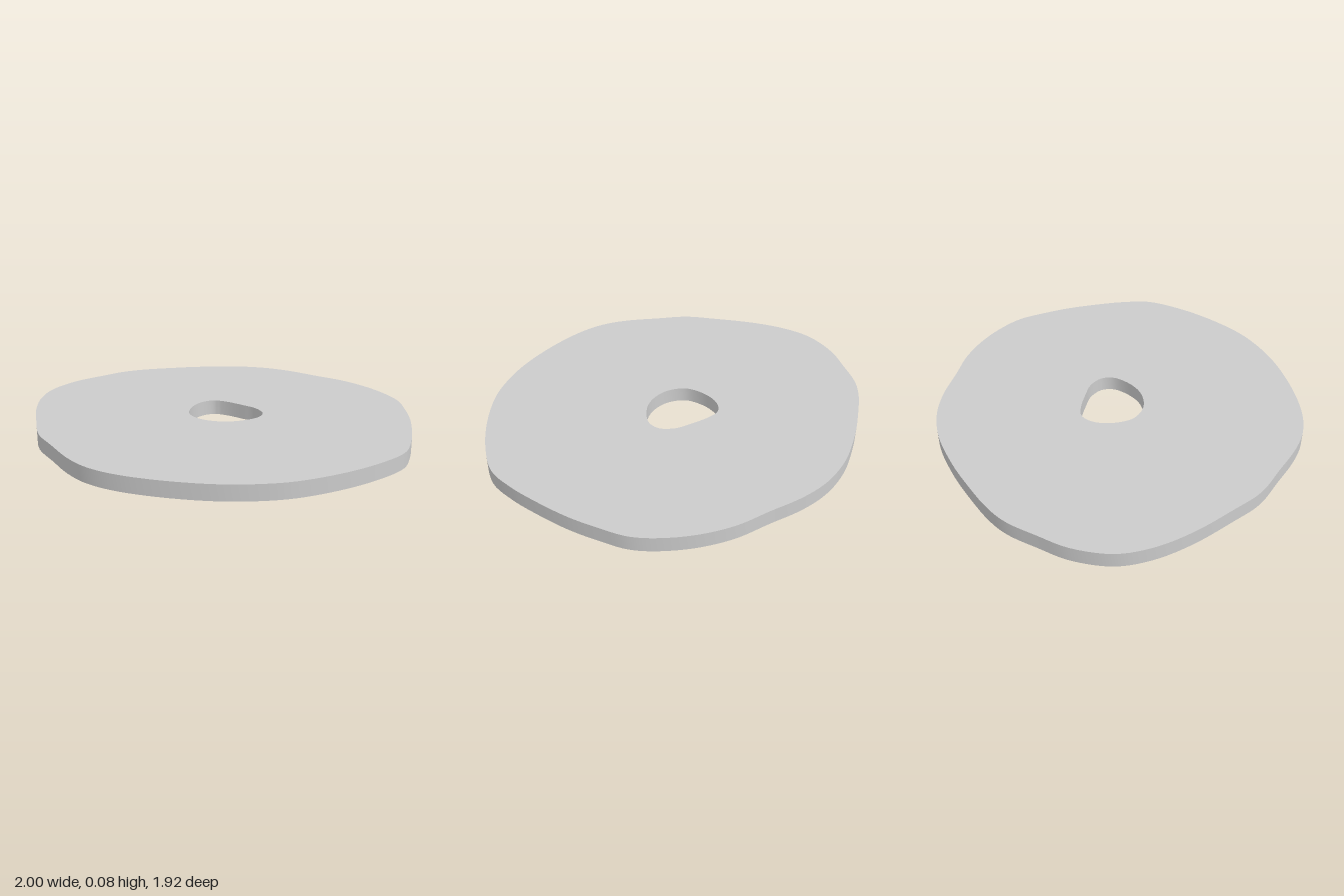
import * as THREE from 'three';
import { toCreasedNormals } from 'three/addons/utils/BufferGeometryUtils.js';

const THICKNESS = 0.08;

// Smooth closed loop through [x, z] points
function loop(points, divisions) {
  const curve = new THREE.CatmullRomCurve3(
    points.map(([x, z]) => new THREE.Vector3(x, z, 0)), true, 'centripetal');
  return curve.getPoints(divisions).slice(0, -1).map(p => new THREE.Vector2(p.x, p.y));
}

export function createModel() {
  // Irregular rounded rim
  const rim = [
    [-0.03, -0.96], [0.2, -0.94], [0.38, -0.88], [0.52, -0.79], [0.66, -0.66],
    [0.8, -0.53], [0.91, -0.37], [0.98, -0.2], [1, -0.09], [0.99, 0.03],
    [0.96, 0.21], [0.9, 0.41], [0.85, 0.54], [0.77, 0.68], [0.6, 0.8],
    [0.4, 0.89], [0.2, 0.945], [0.06, 0.955], [-0.14, 0.935], [-0.4, 0.855],
    [-0.6, 0.755], [-0.72, 0.655], [-0.8, 0.54], [-0.88, 0.37], [-0.955, 0.2],
    [-0.98, 0.02], [-1, -0.22], [-0.985, -0.42], [-0.93, -0.58], [-0.8, -0.73],
    [-0.66, -0.82], [-0.52, -0.9], [-0.4, -0.935], [-0.2, -0.955],
  ];

  // Off-centre, rounded triangular hole
  const hole = [
    [-0.02, -0.24], [0.04, -0.21], [0.13, -0.13], [0.185, -0.07], [0.21, 0.01],
    [0.185, 0.07], [0.12, 0.11], [0.02, 0.13], [-0.07, 0.11], [-0.14, 0.06],
    [-0.18, -0.02], [-0.17, -0.1], [-0.13, -0.18], [-0.08, -0.225],
  ];

  const shape = new THREE.Shape(loop(rim, 170));
  shape.holes.push(new THREE.Path(loop(hole, 70)));

  // Flat slab lying on the ground
  const slab = new THREE.ExtrudeGeometry(shape, { depth: THICKNESS, bevelEnabled: false });
  slab.rotateX(Math.PI / 2).translate(0, THICKNESS, 0);

  const disc = new THREE.Mesh(
    toCreasedNormals(slab, Math.PI / 5),
    new THREE.MeshStandardMaterial({ color: 0xcccccc }));
  disc.name = 'piercedDisc';

  const group = new THREE.Group();
  group.name = 'irregularDisc';
  group.add(disc);
  return group;
}
